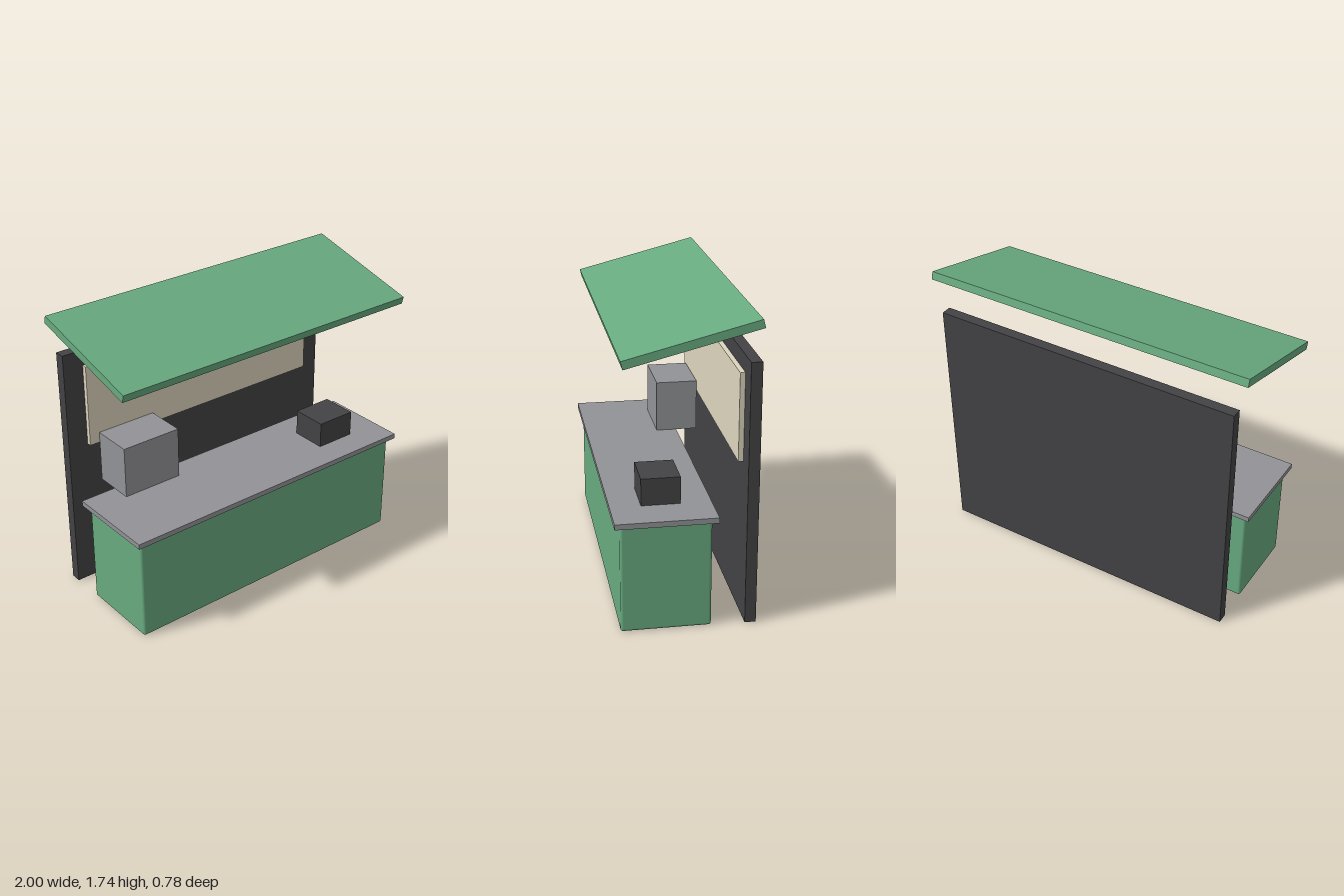
import * as THREE from 'three';
import { RoundedBoxGeometry } from 'three/addons/geometries/RoundedBoxGeometry.js';

const paint = (color) => new THREE.MeshStandardMaterial({ color });

export function createModel() {
  const group = new THREE.Group();
  const green = paint(0x68ab80);
  const dark = paint(0x434345);
  const steel = paint(0x929397);
  const cream = paint(0xded5bf);

  const add = (name, geometry, material, x, y, z) => {
    const mesh = new THREE.Mesh(geometry, material);
    mesh.name = name;
    mesh.position.set(x, y, z);
    group.add(mesh);
    return mesh;
  };
  const box = (w, h, d) => new THREE.BoxGeometry(w, h, d);

  // Counter with softened edges and an overhanging worktop
  add('counter', new RoundedBoxGeometry(1.875, 0.625, 0.5, 4, 0.0156), green, 0, 0.3125, 0.1094);
  add('worktop', box(1.9375, 0.0312, 0.5625), steel, 0, 0.6406, 0.1094);

  // Back wall and menu board
  add('backWall', box(1.875, 1.5, 0.0625), dark, 0, 0.75, -0.3594);
  add('menuBoard', box(1.625, 0.5, 0.0312), cream, 0, 1.1562, -0.3156);

  // Appliance and till on the worktop
  add('appliance', box(0.375, 0.3125, 0.25), steel, -0.5625, 0.8156, -0.1719);
  add('till', box(0.25, 0.1562, 0.2188), dark, 0.625, 0.7344, 0.1094);

  // Floating awning, sloping down to the front
  const awning = add('awning', box(2, 0.0469, 0.75), green, 0, 1.6275, -0.0141);
  awning.rotation.x = 0.25;

  return group;
}
